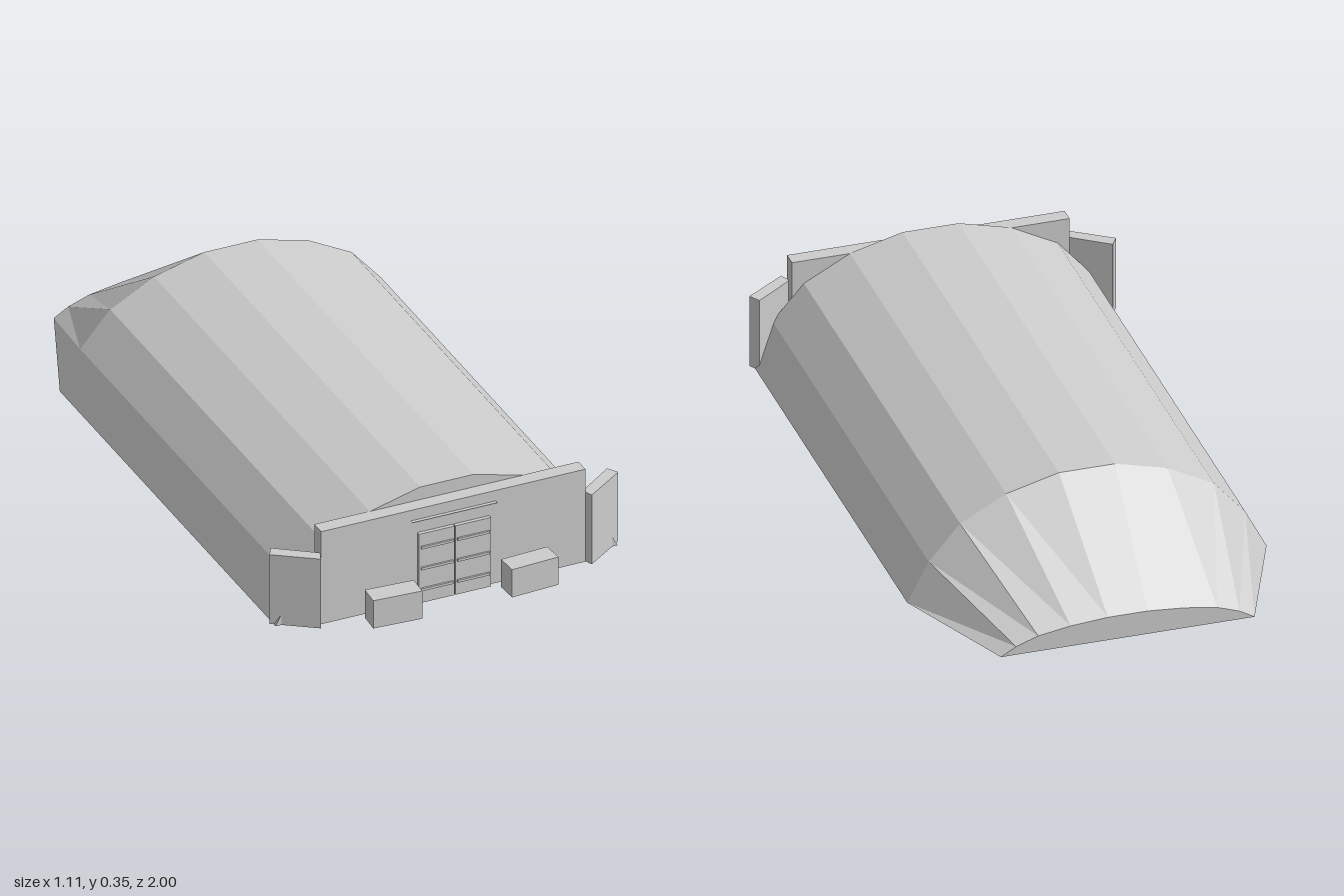
import * as THREE from 'three';

const concrete = new THREE.MeshStandardMaterial({ color: 0xcccccc, flatShading: true });
concrete.name = 'concrete grey';
const thinConcrete = concrete.clone();
thinConcrete.name = 'concrete grey thin';
thinConcrete.side = THREE.DoubleSide;

function addBox(parent, name, [w, h, d], [x, y, z], turn = 0) {
  const mesh = new THREE.Mesh(new THREE.BoxGeometry(w, h, d), concrete);
  mesh.name = name;
  mesh.position.set(x, y, z);
  mesh.rotation.y = turn;
  parent.add(mesh);
  return mesh;
}

// Faceted vault: one arch section placed along z, shrunk at the rear end
function vaultGeometry() {
  const half = [[0.545, 0], [0.48, 0.125], [0.385, 0.235], [0.245, 0.31], [0.085, 0.352]];
  const arch = [...half, ...half.map(([x, y]) => [-x, y]).reverse()];
  const sections = [
    { z: 0.86, sx: 1, sy: 1 },
    { z: -0.615, sx: 1, sy: 1 },
    { z: -1, sx: 0.706, sy: 0.215 },
  ];
  const n = arch.length;
  const last = (sections.length - 1) * n;
  const positions = [];
  const index = [];
  for (const { z, sx, sy } of sections) {
    for (const [x, y] of arch) positions.push(x * sx, y * sy, z);
  }
  for (let s = 0; s < sections.length - 1; s++) {
    for (let j = 0; j < n; j++) {
      const a = s * n + j, d = s * n + (j + 1) % n;
      index.push(a, a + n, d + n, a, d + n, d);
    }
  }
  // End walls
  for (let j = 1; j < n - 1; j++) {
    index.push(0, j, j + 1, last, last + j + 1, last + j);
  }
  const indexed = new THREE.BufferGeometry();
  indexed.setAttribute('position', new THREE.Float32BufferAttribute(positions, 3));
  indexed.setIndex(index);
  const geometry = indexed.toNonIndexed();
  geometry.computeVertexNormals();
  return geometry;
}

// Upright prism from a plan outline of [x, z] points
function wingGeometry(plan, height) {
  const shape = new THREE.Shape(plan.map(([x, z]) => new THREE.Vector2(x, -z)));
  const geometry = new THREE.ExtrudeGeometry(shape, { depth: height, bevelEnabled: false });
  return geometry.rotateX(-Math.PI / 2);
}

export function createModel() {
  const model = new THREE.Group();
  model.name = 'bunker';

  const vault = new THREE.Mesh(vaultGeometry(), concrete);
  vault.name = 'vault';
  model.add(vault);

  addBox(model, 'frontWall', [0.842, 0.31, 0.047], [0, 0.155, 0.8815]);

  // Lintel strip above the doors
  const lintel = new THREE.Mesh(new THREE.PlaneGeometry(0.27, 0.012), thinConcrete);
  lintel.name = 'lintel';
  lintel.rotation.x = -Math.PI / 2;
  lintel.position.set(0, 0.275, 0.911);
  model.add(lintel);

  for (const side of [-1, 1]) {
    const label = side > 0 ? 'left' : 'right';

    // Angled wing walls
    const plan = [[0.417, 0.893], [0.432, 0.926], [0.556, 0.84], [0.536, 0.807]];
    const wing = new THREE.Mesh(wingGeometry(plan.map(([x, z]) => [side * x, z]), 0.232), concrete);
    wing.name = label + 'WingWall';
    model.add(wing);

    // Door leaf with raised slats
    const door = new THREE.Group();
    door.name = label + 'Door';
    addBox(door, 'doorLeaf', [0.113, 0.231, 0.02], [side * 0.058, 0.1155, 0.907]);
    for (const y of [0.046, 0.116, 0.186]) {
      addBox(door, 'doorSlat', [0.102, 0.008, 0.008], [side * 0.058, y, 0.919]);
    }
    model.add(door);

    // Low blocks in front of the entrance
    addBox(model, label + 'Block', [0.152, 0.093, 0.067], [side * 0.217, 0.0465, 0.962], side * 0.06);
  }
  return model;
}
